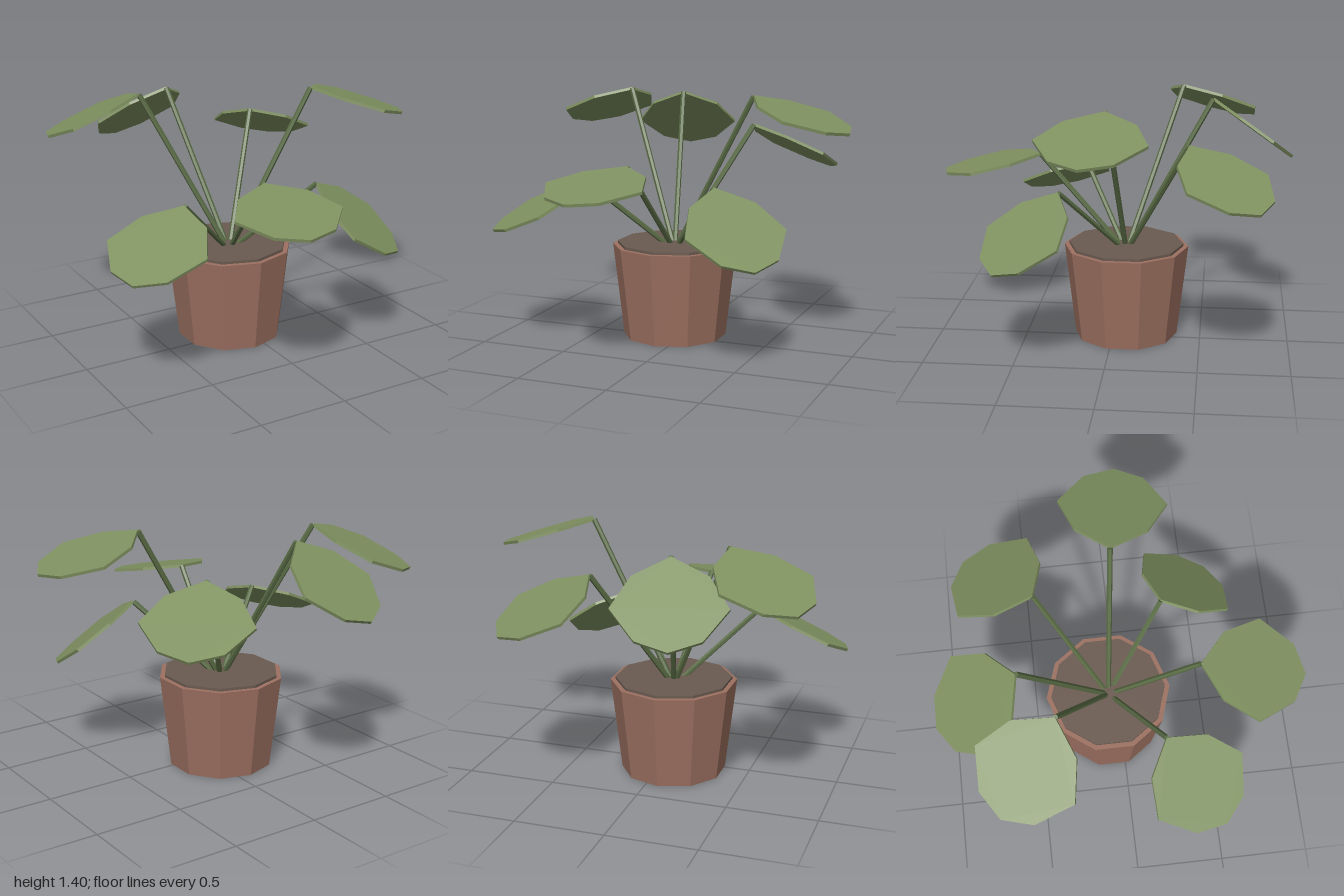
import * as THREE from 'three';

const mat = (color) => new THREE.MeshStandardMaterial({ color, flatShading: true });
const potMat = mat(0x9c7060);
const soilMat = mat(0x6a5a50);
const stemMat = mat(0x5a6c45);
const leafMat = mat(0x7f9160);

const CENTER = new THREE.Vector3(-0.07, 0, -0.07);
const LEAF_LENGTH = 0.587;
const LEAF_THICKNESS = 0.016;

// Stem tip x, y, z and how far the leaf drops along its length
const LEAVES = [
  [-0.208, 1.355, -0.547, 0.35],
  [-0.465, 1.383, -0.37, 0.237],
  [0.28, 1.19, -0.43, 0.266],
  [0.42, 1.392, 0.0, 0.175],
  [0.293, 0.922, 0.265, 0.365],
  [-0.14, 1.032, 0.424, 0.118],
  [-0.49, 0.905, 0.2, 0.262],
];

// Eight-sided leaf blade: base corner at the origin, growing along +y
function leafGeometry() {
  const half = [[0.195, 0.126], [0.295, 0.328], [0.165, 0.522]];
  const points = [
    [0, 0],
    ...half,
    [0, LEAF_LENGTH],
    ...half.slice().reverse().map(([x, y]) => [-x, y]),
  ].map(([x, y]) => new THREE.Vector2(x, y));
  const geometry = new THREE.ExtrudeGeometry(new THREE.Shape(points), {
    depth: LEAF_THICKNESS, bevelEnabled: false,
  });
  return geometry.translate(0, 0, -LEAF_THICKNESS / 2);
}

// Straight rod between two points
function rod(from, to, radius) {
  const direction = to.clone().sub(from);
  const mesh = new THREE.Mesh(
    new THREE.CylinderGeometry(radius, radius, direction.length(), 6), stemMat);
  mesh.position.copy(from).add(to).multiplyScalar(0.5);
  mesh.quaternion.setFromUnitVectors(new THREE.Vector3(0, 1, 0), direction.normalize());
  return mesh;
}

export function createModel() {
  const model = new THREE.Group();
  model.name = 'pottedPlant';

  // Tapered ten-sided pot
  const pot = new THREE.Mesh(new THREE.CylinderGeometry(0.355, 0.294, 0.53, 10), potMat);
  pot.name = 'pot';
  pot.position.copy(CENTER).setY(0.265);
  model.add(pot);

  // Soil disc standing slightly above the rim
  const soil = new THREE.Mesh(new THREE.CylinderGeometry(0.327, 0.327, 0.06, 10), soilMat);
  soil.name = 'soil';
  soil.position.copy(CENTER).setY(0.515);
  model.add(soil);

  // Stems fan out from one root; each leaf droops on in its stem's heading
  const root = CENTER.clone().setY(0.49);
  const blade = leafGeometry();
  LEAVES.forEach(([x, y, z, drop], i) => {
    const tip = new THREE.Vector3(x, y, z);
    const stem = rod(root, tip, 0.015);
    stem.name = `stem${i + 1}`;
    model.add(stem);

    const along = tip.clone().sub(root).setY(0)
      .setLength(Math.sqrt(LEAF_LENGTH ** 2 - drop ** 2)).setY(-drop).normalize();
    const side = along.clone().cross(new THREE.Vector3(0, 1, 0)).normalize();
    const normal = side.clone().cross(along);
    const leaf = new THREE.Mesh(blade, leafMat);
    leaf.name = `leaf${i + 1}`;
    leaf.quaternion.setFromRotationMatrix(new THREE.Matrix4().makeBasis(side, along, normal));
    leaf.position.copy(tip);
    model.add(leaf);
  });

  return model;
}
